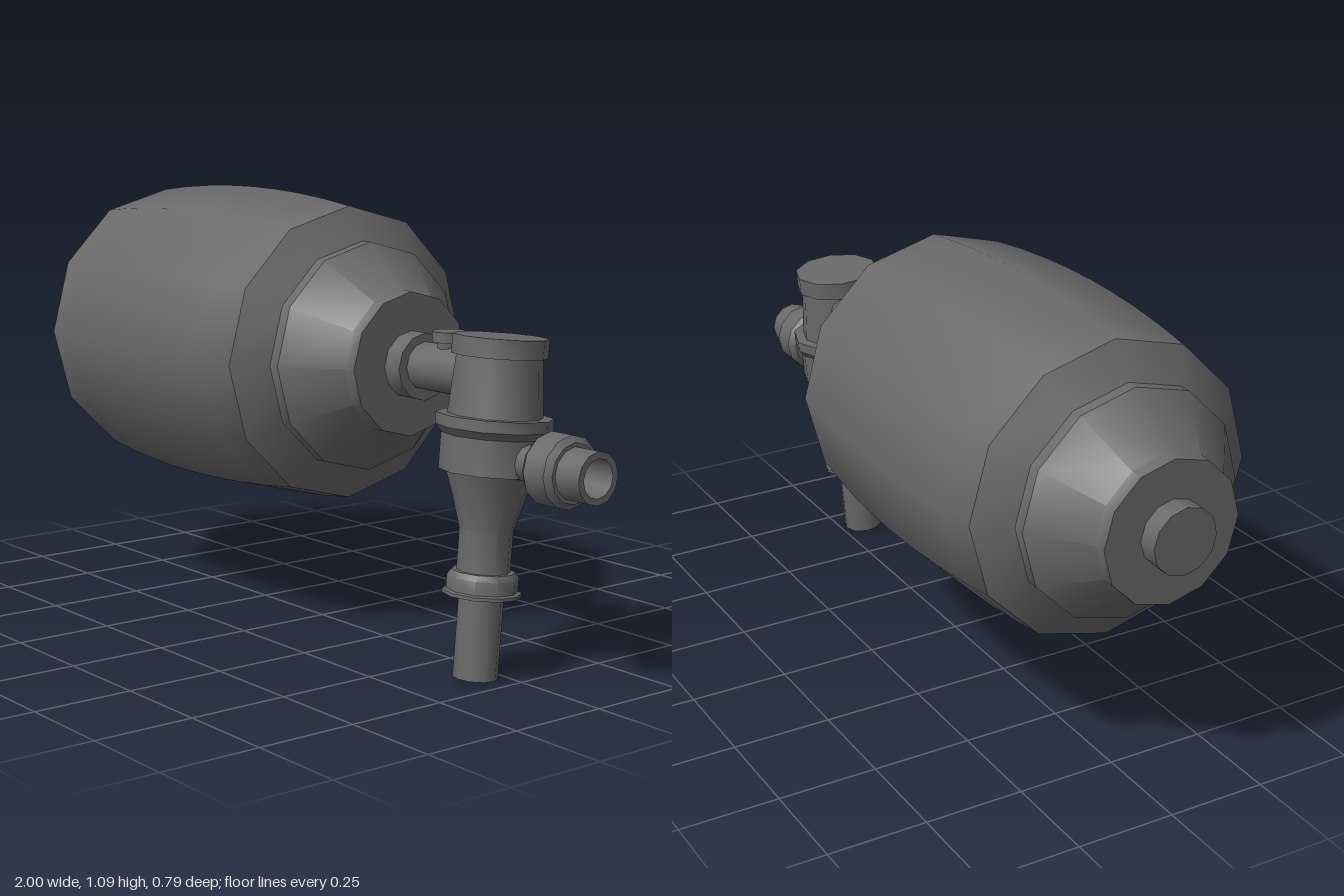
import * as THREE from 'three';
import { toCreasedNormals } from 'three/addons/utils/BufferGeometryUtils.js';

const material = new THREE.MeshStandardMaterial({ color: 0x696969, side: THREE.DoubleSide });

// Turned part: profile is a list of [radius, height] pairs, bottom to top
function turned(name, profile, sides) {
  const points = profile.map(([r, h]) => new THREE.Vector2(r, h));
  const geometry = toCreasedNormals(new THREE.LatheGeometry(points, sides), 0.65);
  const mesh = new THREE.Mesh(geometry, material);
  mesh.name = name;
  return mesh;
}

// Turned part lying along x
function turnedAlongX(name, profile, sides, y, z) {
  const mesh = turned(name, profile, sides);
  mesh.rotation.z = -Math.PI / 2;
  mesh.position.set(0, y, z);
  return mesh;
}

export function createModel() {
  const model = new THREE.Group();
  model.name = 'resuscitatorBag';

  // Squeezable bag: gently bulged middle, stepped cones and end collars
  const bulge = [];
  for (let i = 0; i <= 8; i++) {
    const t = i / 4 - 1;
    bulge.push([0.395 - 0.028 * t * t, -0.3 + 0.408 * t]);
  }
  model.add(turnedAlongX('bag', [
    [0, -1], [0.082, -1], [0.082, -0.95], [0.176, -0.95], [0.178, -0.918],
    [0.284, -0.793], [0.284, -0.763],
    ...bulge,
    [0.284, 0.16], [0.284, 0.19], [0.178, 0.315], [0.176, 0.347],
    [0.082, 0.347], [0.082, 0.4], [0, 0.4],
  ], 12, 0.697, 0));

  // Pipe joining the bag to the valve
  model.add(turnedAlongX('connectingPipe', [[0.058, 0.39], [0.058, 0.64]], 12, 0.7, 0));

  // Small port on top of the pipe
  const port = turned('pipePort', [
    [0.027, 0], [0.027, 0.07], [0.04, 0.07], [0.04, 0.095], [0, 0.095],
  ], 10);
  port.position.set(0.484, 0.697, 0);
  model.add(port);

  // Valve, leaning slightly about x
  const valve = new THREE.Group();
  valve.name = 'valve';
  valve.position.set(0.664, 0.005, 0.067);
  valve.rotation.x = -0.085;
  valve.add(turned('valveBody', [
    [0.053, 0.19], [0.093, 0.197], [0.093, 0.205], [0.084, 0.208], [0.084, 0.24],
    [0.075, 0.253], [0.063, 0.253], [0.063, 0.35], [0.085, 0.425], [0.105, 0.485],
    [0.122, 0.485], [0.122, 0.57], [0.137, 0.588], [0.137, 0.615],
    [0.111, 0.615], [0.1, 0.752], [0.112, 0.752], [0.112, 0.797], [0, 0.797],
  ], 10));
  // Hollow lower tube with a thin wall
  valve.add(turned('lowerTube', [
    [0, 0.18], [0.044, 0.18], [0.044, 0], [0.053, 0], [0.053, 0.22],
  ], 10));
  model.add(valve);

  // Side outlet with a thick collar and open mouth
  model.add(turnedAlongX('outlet', [
    [0.043, 0.7], [0.043, 0.833], [0.07, 0.833], [0.085, 0.852], [0.085, 0.915],
    [0.07, 0.928], [0.061, 0.928], [0.061, 1], [0.045, 1], [0.045, 0.86], [0, 0.86],
  ], 12, 0.523, 0.018));

  return model;
}
